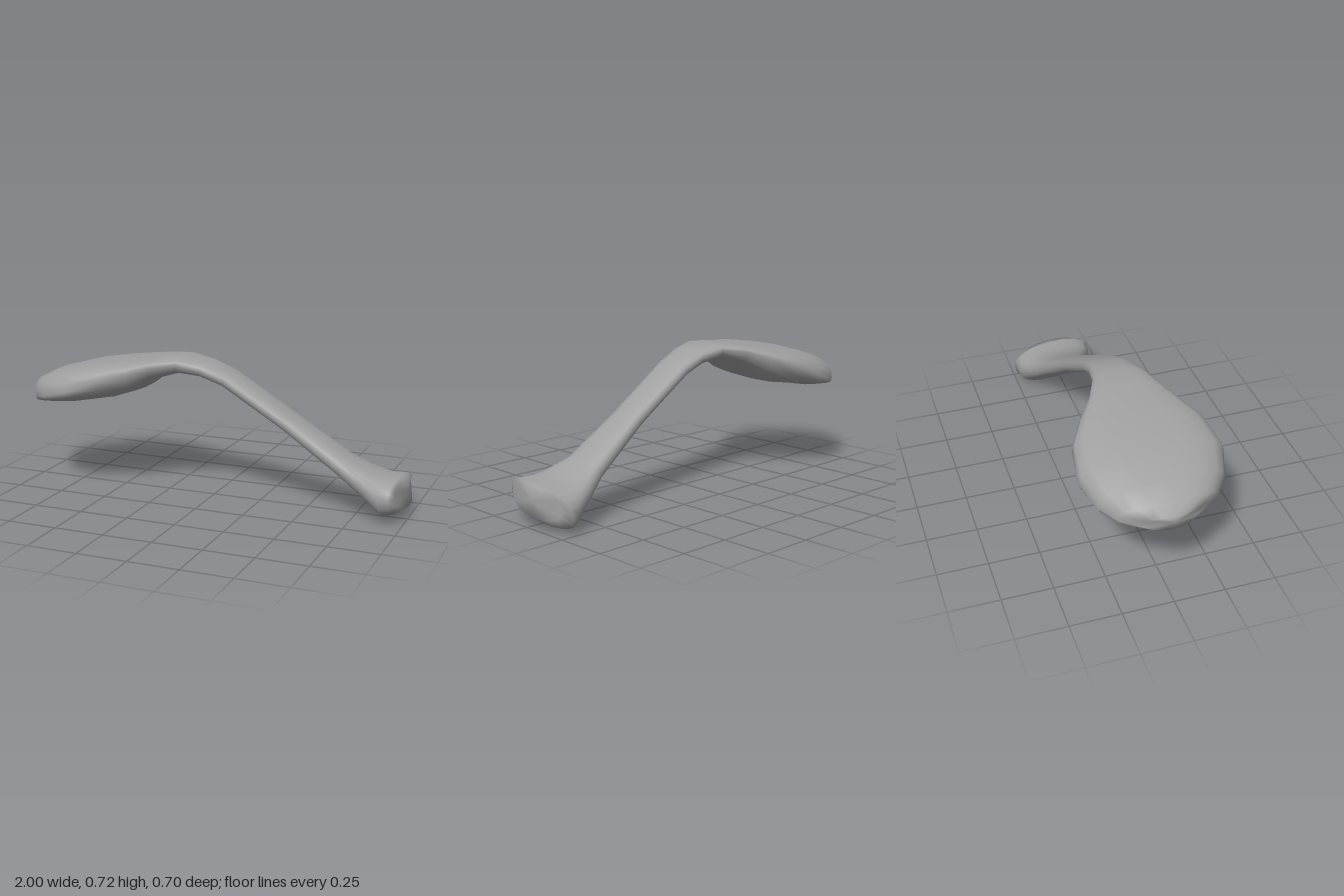
import * as THREE from 'three';

const { smoothstep } = THREE.MathUtils;
const SIDES = 20;

// Each section: [topX, topY, bottomX, bottomY, backZ, frontZ]
const SECTIONS = [
  // broad paddle
  [-1, 0.52, -0.985, 0.437, -0.15, 0.13],
  [-0.95, 0.555, -0.94, 0.437, -0.24, 0.225],
  [-0.85, 0.605, -0.85, 0.446, -0.305, 0.295],
  [-0.68, 0.652, -0.68, 0.459, -0.352, 0.345],
  [-0.5, 0.68, -0.5, 0.487, -0.33, 0.312],
  [-0.37, 0.694, -0.38, 0.53, -0.255, 0.245],
  [-0.27, 0.708, -0.28, 0.598, -0.18, 0.19],
  // curved neck and shaft
  [-0.15, 0.72, -0.16, 0.635, -0.125, 0.143],
  [-0.02, 0.698, -0.05, 0.623, -0.105, 0.11],
  [0.1, 0.65, 0.06, 0.582, -0.104, 0.091],
  [0.42, 0.451, 0.37, 0.387, -0.113, 0.071],
  [0.7, 0.275, 0.66, 0.183, -0.148, 0.084],
  // flared foot
  [0.81, 0.228, 0.77, 0.103, -0.195, 0.125],
  [0.88, 0.21, 0.9, 0.006, -0.235, 0.168],
  [0.955, 0.208, 0.95, 0.025, -0.255, 0.182],
  [0.99, 0.206, 1, 0.06, -0.21, 0.14],
];

const power = (v, p) => Math.sign(v) * Math.abs(v) ** p;

// One rounded cross-section, with its centre point
function makeSection([tx, ty, bx, by, z0, z1]) {
  const points = [];
  const mid = (z0 + z1) / 2, half = (z1 - z0) / 2;
  // the widest level dips toward the paddle tip and rises at the neck
  const side = 0.5 + (tx < 0 ? 0.19 * Math.sin((tx + 0.565) * 5.5) : 0);
  // rounded ends in plan, and a slight twist at the paddle and foot
  const bow = 0.05 * (1 - smoothstep(tx, -0.95, -0.5)) - 0.03 * smoothstep(tx, 0.93, 0.99);
  const slope = 0.04 * (1 - smoothstep(tx, -0.5, -0.25)) + 0.09 * smoothstep(tx, 0.5, 0.9);
  for (let j = 0; j < SIDES; j++) {
    const a = (j / SIDES) * Math.PI * 2;
    const across = power(Math.cos(a), 0.8), up = power(Math.sin(a), 0.8);
    const level = up > 0 ? side + (1 - side) * up : side * (1 + up);
    points.push([
      bx + (tx - bx) * level + bow * across * across,
      by + (ty - by) * level + slope * half * across,
      mid + half * across,
    ]);
  }
  return { points, centre: [(tx + bx) / 2, (ty + by) / 2, mid] };
}

function loftGeometry() {
  const rings = SECTIONS.map(makeSection);
  const last = rings.length - 1, startCap = rings.length * SIDES, endCap = startCap + 1;
  const positions = rings.flatMap((r) => r.points.flat());
  positions.push(...rings[0].centre, ...rings[last].centre);
  const index = [];
  for (let j = 0; j < SIDES; j++) {
    const k = (j + 1) % SIDES;
    for (let i = 0; i < last; i++) {
      const a = i * SIDES, b = a + SIDES;
      index.push(a + j, b + j, a + k, b + j, b + k, a + k);
    }
    // closed ends
    index.push(startCap, j, k, endCap, last * SIDES + k, last * SIDES + j);
  }
  const geometry = new THREE.BufferGeometry();
  geometry.setAttribute('position', new THREE.Float32BufferAttribute(positions, 3));
  geometry.setIndex(index);
  geometry.computeVertexNormals();
  return geometry;
}

export function createModel() {
  const group = new THREE.Group();
  group.name = 'curvedPaddle';
  const grey = new THREE.MeshStandardMaterial({ color: 0xa0a0a0 });
  grey.name = 'grey';
  // paddle, shaft and foot form one continuous body
  const body = new THREE.Mesh(loftGeometry(), grey);
  body.name = 'body';
  group.add(body);
  return group;
}
